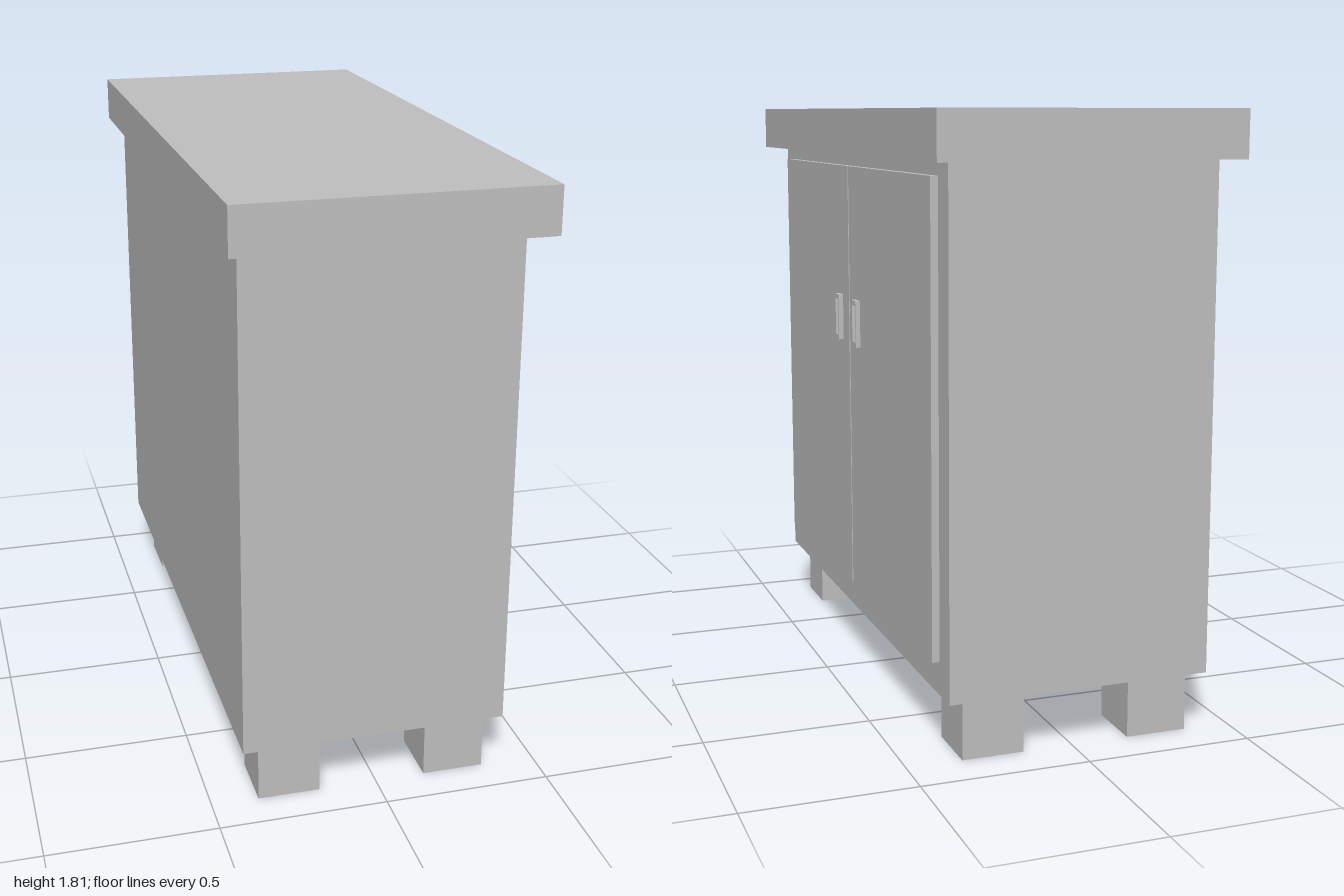
import * as THREE from 'three';

export function createModel() {
  const model = new THREE.Group();
  model.name = 'cabinet';
  const grey = new THREE.MeshStandardMaterial({ color: 0xc0c0c0 });
  grey.name = 'light grey';

  // Box given by its lower and upper limits on each axis
  function box(name, [x0, x1], [y0, y1], [z0, z1]) {
    const mesh = new THREE.Mesh(new THREE.BoxGeometry(x1 - x0, y1 - y0, z1 - z0), grey);
    mesh.position.set((x0 + x1) / 2, (y0 + y1) / 2, (z0 + z1) / 2);
    mesh.name = name;
    model.add(mesh);
  }

  box('worktop', [-0.45, 0.447], [1.672, 1.81], [-1, 1]);
  box('carcass', [-0.411, 0.384], [0.18, 1.672], [-0.905, 0.92]);

  // Four block feet
  for (const x of [[-0.36, -0.175], [0.15, 0.335]]) {
    for (const z of [[-0.872, -0.69], [0.705, 0.888]]) box('foot', x, [0, 0.18], z);
  }

  // Pair of doors on the +x side, with a narrow gap between them
  box('frontDoor', [0.384, 0.406], [0.278, 1.632], [0.013, 0.833]);
  box('rearDoor', [0.384, 0.406], [0.278, 1.632], [-0.82, 0.005]);

  // Rectangle outline centred on the origin
  function rectangle(path, w, h) {
    path.moveTo(-w / 2, -h / 2);
    path.lineTo(w / 2, -h / 2);
    path.lineTo(w / 2, h / 2);
    path.lineTo(-w / 2, h / 2);
    path.closePath();
    return path;
  }

  // Slim framed handles either side of the gap
  const frame = rectangle(new THREE.Shape(), 0.045, 0.146);
  frame.holes.push(rectangle(new THREE.Path(), 0.033, 0.116));
  const handleGeometry = new THREE.ExtrudeGeometry(frame, { depth: 0.015, bevelEnabled: false });
  handleGeometry.rotateY(Math.PI / 2);
  for (const z of [0.108, -0.092]) {
    const handle = new THREE.Mesh(handleGeometry, grey);
    handle.position.set(0.406, 1.146, z);
    handle.name = 'handle';
    model.add(handle);
  }

  return model;
}
